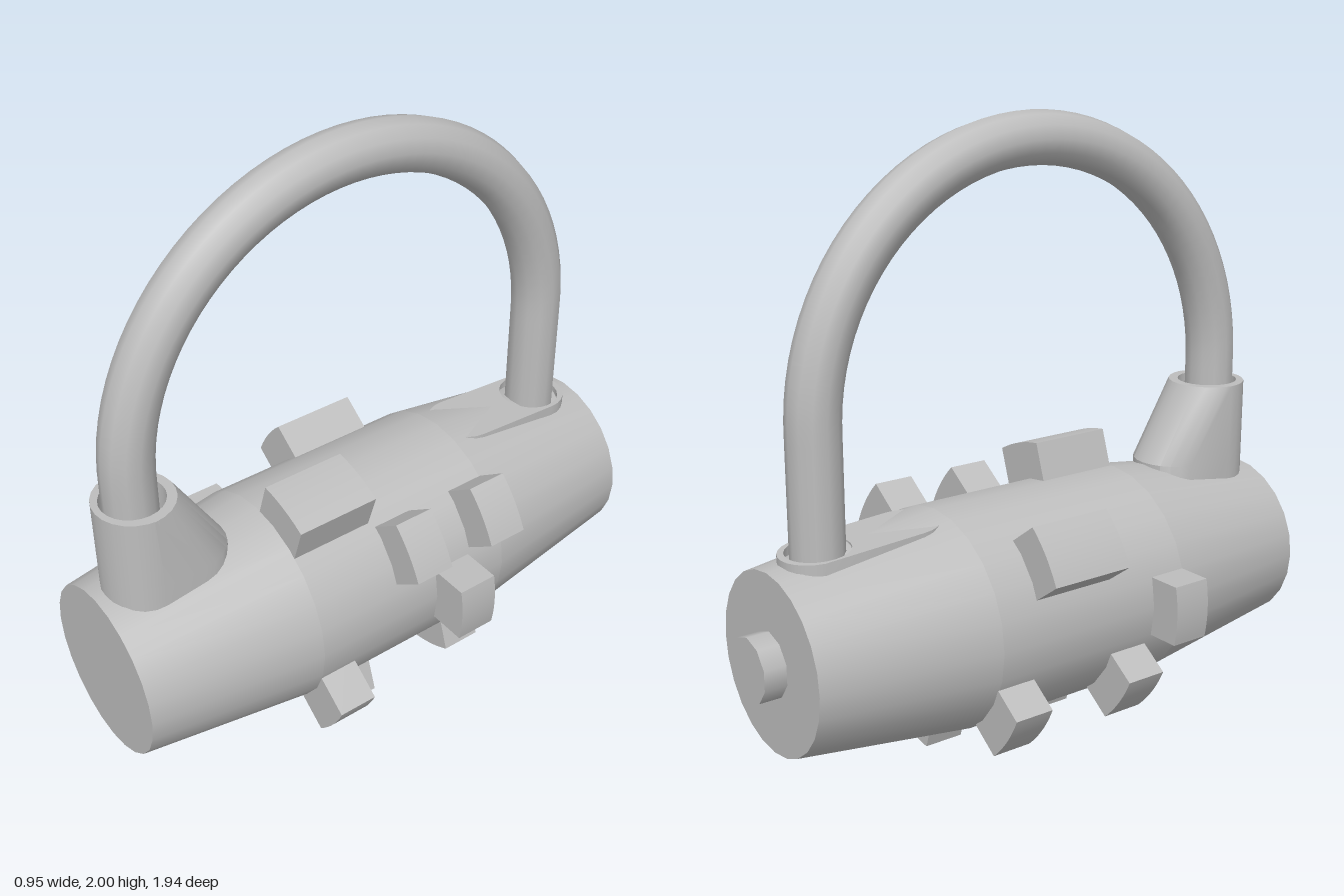
import * as THREE from 'three';
import { toCreasedNormals } from 'three/addons/utils/BufferGeometryUtils.js';

const CX = -0.012, CY = 0.464; // long axis of the barrel

// Handle path: two straight legs joined by a half circle
class HandleCurve extends THREE.Curve {
  getPoint(t, target = new THREE.Vector3()) {
    const R = 0.777, zc = 0.046, yc = 1.14, foot = 0.62, leg = 0.15;
    if (t < leg) return target.set(CX, foot + (yc - foot) * t / leg, zc + R);
    if (t > 1 - leg) return target.set(CX, foot + (yc - foot) * (1 - t) / leg, zc - R);
    const a = Math.PI * (t - leg) / (1 - 2 * leg);
    return target.set(CX, yc + R * Math.sin(a), zc + R * Math.cos(a));
  }
}

// Skin over stacked stadium rings: [y, front centre z, back centre z, radius, slope of y over z]
function loft(rings, n = 24) {
  const pos = [], idx = [];
  for (const [y, zf, zb, r, slope = 0] of rings) {
    for (let i = 0; i <= n; i++) {
      const a = (i / n) * Math.PI * 2, s = Math.sin(a);
      const z = (s >= -1e-6 && i <= n / 2 ? zf : zb) + r * s;
      pos.push(CX + r * Math.cos(a), y + slope * z, z);
    }
  }
  for (let k = 0; k < rings.length - 1; k++) {
    for (let i = 0; i < n; i++) {
      const a = k * (n + 1) + i, c = a + n + 1;
      idx.push(a, c, a + 1, a + 1, c, c + 1);
    }
    // straight flank that closes each ring on the +x side
    const a = k * (n + 1) + n, b = k * (n + 1), c = a + n + 1, d = b + n + 1;
    idx.push(a, c, b, b, c, d);
  }
  const g = new THREE.BufferGeometry();
  g.setAttribute('position', new THREE.Float32BufferAttribute(pos, 3));
  g.setIndex(idx);
  return toCreasedNormals(g, 0.5);
}

export function createModel() {
  const model = new THREE.Group();
  const grey = new THREE.MeshStandardMaterial({ color: 0xbdbdbd });
  grey.name = 'grey metal';

  const add = (name, geometry, parent = model) => {
    const mesh = new THREE.Mesh(geometry, grey);
    mesh.name = name;
    parent.add(mesh);
    return mesh;
  };

  // Cylinder or cone lying along z
  const barrelPart = (name, zFront, zBack, rFront, rBack, sides, open) => {
    const g = new THREE.CylinderGeometry(rFront, rBack, zFront - zBack, sides, 1, open);
    g.rotateX(Math.PI / 2).translate(CX, CY, (zFront + zBack) / 2);
    return add(name, g);
  };

  // Barrel: straight middle with tapered ends
  barrelPart('frontTaper', 0.97, 0.4, 0.282, 0.357, 24, false);
  barrelPart('barrelMiddle', 0.4, -0.32, 0.357, 0.357, 24, true);
  barrelPart('backTaper', -0.32, -0.9, 0.357, 0.282, 24, false);
  barrelPart('endKnob', -0.88, -0.972, 0.102, 0.102, 10, false);

  // Curved handle
  add('handle', new THREE.TubeGeometry(new HandleCurve(), 64, 0.083, 12, false));

  // Front socket with a sloped back and a bored top
  add('handleSocket', loft([
    [0.6, 0.803, 0.663, 0.133],
    [0.81, 0.803, 0.663, 0.133],
    [1.06, 0.803, 0.818, 0.133],
    [1.06, 0.815, 0.815, 0.1],
    [0.96, 0.815, 0.815, 0.1],
    [0.96, 0.815, 0.815, 0.002],
  ]));

  // Low sloped pad around the rear leg of the handle
  add('rearPad', loft([
    [0.65, -0.43, -0.738, 0.113],
    [0.825, -0.43, -0.738, 0.113, 0.0623],
    [0.825, -0.73, -0.73, 0.1, 0.0623],
    [0.73, -0.73, -0.73, 0.1],
  ]));

  // Raised teeth on ten angular steps: [step, front z, back z]
  const teeth = new THREE.Group();
  teeth.name = 'teeth';
  model.add(teeth);
  const half = 0.0975, outer = 0.473, sweep = Math.asin(half / outer);
  const profile = new THREE.Shape();
  profile.moveTo(0.27, -half);
  profile.lineTo(outer * Math.cos(sweep), -half);
  profile.absarc(0, 0, outer, -sweep, sweep, false);
  profile.lineTo(0.27, half);
  profile.closePath();
  const places = [
    [0, -0.045, -0.18],
    [1, 0.105, -0.03], [1, -0.19, -0.325],
    [2, 0.4, 0.12],
    [4, 0.105, -0.18],
    [5, 0.4, 0.27],
    [6, 0.255, 0.115], [6, -0.19, -0.325],
    [8, 0.255, 0.12], [8, -0.19, -0.325],
    [9, 0.4, 0.27],
  ];
  for (const [step, zFront, zBack] of places) {
    const g = new THREE.ExtrudeGeometry(profile, {
      depth: zFront - zBack, bevelEnabled: false, curveSegments: 6,
    });
    g.rotateZ(step * Math.PI / 5).translate(-0.003, CY + 0.002, zBack);
    add('tooth', toCreasedNormals(g, 0.4), teeth);
  }

  return model;
}
